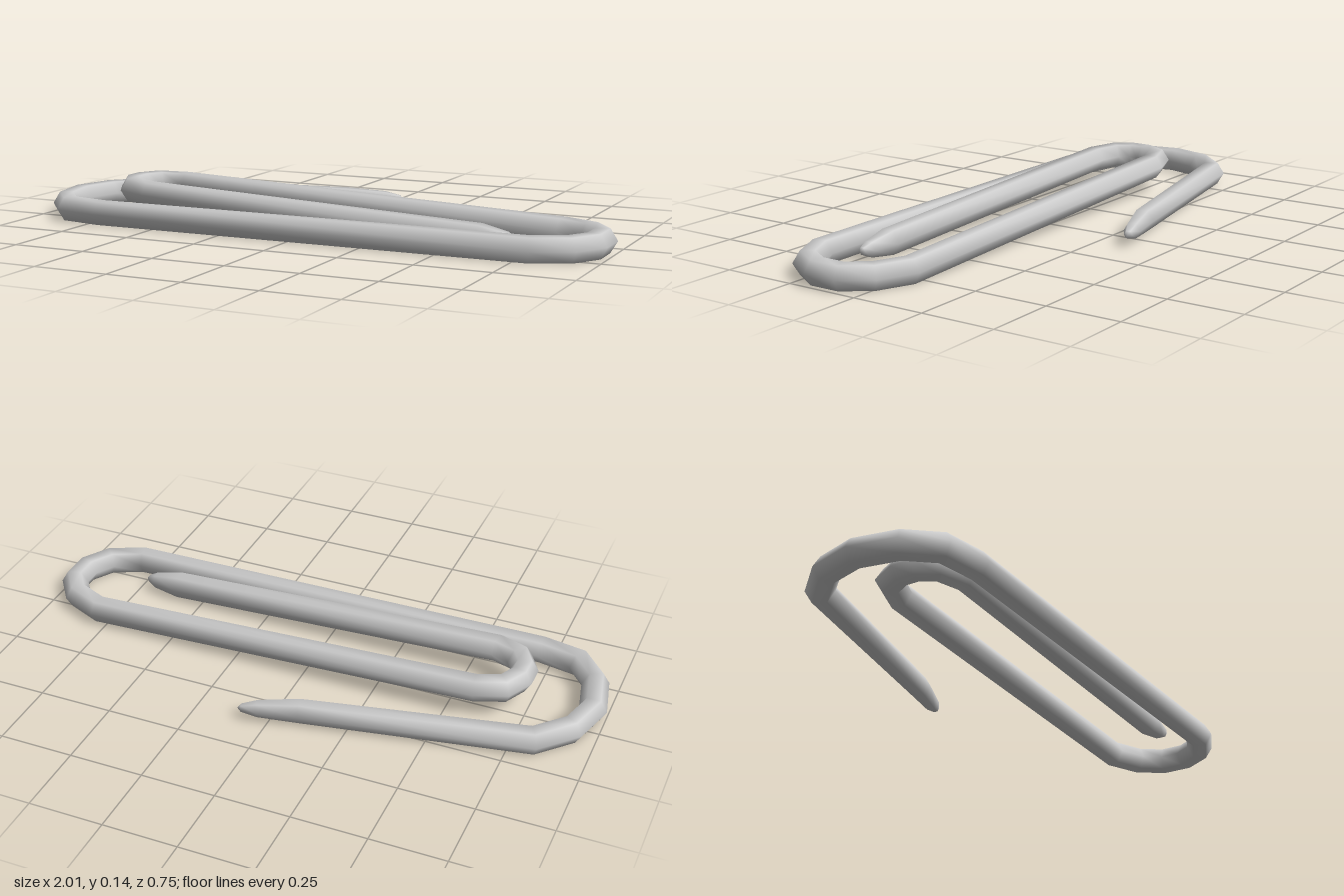
import * as THREE from 'three';

const R = 0.045, SIDES = 6;

// Height of the raised inner loop, sloping down to the flat outer loop
const lift = x => 0.04 + 0.059 * Math.max(0, Math.min(1, (0.7 - x) / 1.4));

// Wire centre line: x, z, thickness (1 = full)
const outer = [
  [0.09, -0.364, 0.3], [0.04, -0.348, 0.62], [-0.09, -0.307, 0.88], [-0.825, -0.16, 1],
  [-0.92, -0.06, 1], [-0.957, 0.07, 1], [-0.928, 0.21, 1], [-0.85, 0.303, 1], [-0.71, 0.329, 1],
  [0.797, 0.313, 1], [0.906, 0.262, 1], [0.957, 0.178, 1], [0.957, 0.088, 1], [0.9, 0.01, 1],
];
const inner = [
  [0.79, -0.038, 1], [-0.59, -0.038, 1], [-0.677, -0.008, 1], [-0.71, 0.056, 1],
  [-0.71, 0.112, 1], [-0.677, 0.17, 1], [-0.59, 0.204, 1],
  [0.6, 0.206, 1], [0.69, 0.208, 0.62], [0.718, 0.21, 0.3],
];

// Sweep a hexagon along the path with mitred corners and pointed ends
function wireGeometry(path) {
  const up = new THREE.Vector3(0, 1, 0), pos = [], index = [];
  const n = path.length;
  const dir = i => path[i + 1].p.clone().sub(path[i].p).setY(0).normalize();
  path.forEach(({ p, w }, i) => {
    const before = dir(Math.max(i - 1, 0)), after = dir(Math.min(i, n - 2));
    const t = before.clone().add(after).normalize();
    const side = t.clone().cross(up).multiplyScalar(1 / t.dot(after));
    for (let j = 0; j < SIDES; j++) {
      const a = j / SIDES * Math.PI * 2;
      const v = p.clone().addScaledVector(side, R * w * Math.cos(a)).addScaledVector(up, R * w * Math.sin(a));
      pos.push(v.x, v.y, v.z);
    }
  });
  for (let i = 0; i < n - 1; i++) {
    for (let j = 0; j < SIDES; j++) {
      const k = (j + 1) % SIDES;
      const a = i * SIDES + j, b = i * SIDES + k, c = a + SIDES, d = b + SIDES;
      index.push(a, c, b, b, c, d);
    }
  }
  // End points
  const first = path[0].p.clone().addScaledVector(dir(0), -0.012);
  const last = path[n - 1].p.clone().addScaledVector(dir(n - 2), 0.01);
  pos.push(...first.toArray(), ...last.toArray());
  for (let j = 0; j < SIDES; j++) {
    const k = (j + 1) % SIDES, e = (n - 1) * SIDES;
    index.push(n * SIDES, j, k, n * SIDES + 1, e + k, e + j);
  }
  const g = new THREE.BufferGeometry();
  g.setAttribute('position', new THREE.Float32BufferAttribute(pos, 3));
  g.setIndex(index);
  g.computeVertexNormals();
  return g;
}

export function createModel() {
  const group = new THREE.Group();
  group.name = 'paperClip';
  const path = [
    ...outer.map(([x, z, w]) => ({ p: new THREE.Vector3(x, 0.04, z), w })),
    ...inner.map(([x, z, w]) => ({ p: new THREE.Vector3(x, lift(x), z), w })),
  ];
  const wire = new THREE.Mesh(wireGeometry(path), new THREE.MeshStandardMaterial({ color: 0xcccccc }));
  wire.name = 'bentWire';
  group.add(wire);
  return group;
}
